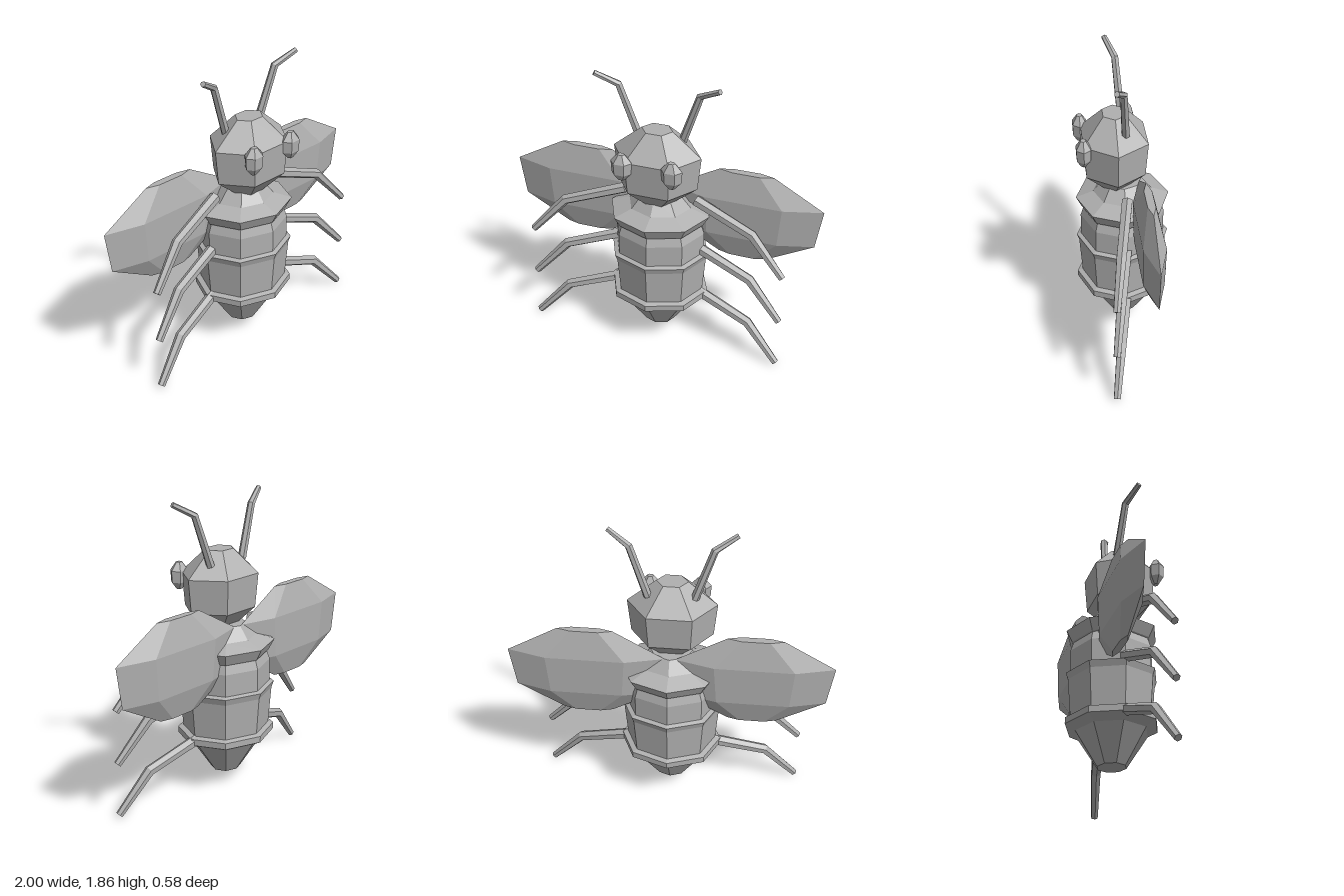
import * as THREE from 'three';

const gray = new THREE.MeshStandardMaterial({ color: 0xb0b0b0, flatShading: true });
gray.name = 'plain gray';

// Closed faceted solid turned around y from [radius, y] rows, bottom to top
function turned(rows, sides, phase) {
  const pts = [[0, rows[0][1]], ...rows, [0, rows[rows.length - 1][1]]];
  return new THREE.LatheGeometry(pts.map(([r, y]) => new THREE.Vector2(r, y)), sides, phase);
}

// Six-sided barrel of unit radius and height, shared by head, eyes and wings
const barrel = turned([[0.32, -0.5], [0.92, -0.23], [1, 0.2], [0.35, 0.5]], 6, Math.PI / 6);

// Six-sided tapering limb through a bent path
function limb(path, radii) {
  const sides = 6, pos = [], index = [];
  const P = path.map(p => new THREE.Vector3(...p));
  P.forEach((p, i) => {
    const a = P[Math.max(i - 1, 0)], b = P[Math.min(i + 1, P.length - 1)];
    const t = b.clone().sub(a).normalize();
    const u = new THREE.Vector3(0, 0, 1).cross(t).normalize();
    const v = t.clone().cross(u);
    for (let k = 0; k < sides; k++) {
      const w = (k / sides) * Math.PI * 2;
      const q = p.clone().addScaledVector(u, Math.cos(w) * radii[i]).addScaledVector(v, Math.sin(w) * radii[i]);
      pos.push(q.x, q.y, q.z);
    }
  });
  for (let i = 0; i < P.length - 1; i++) {
    for (let k = 0; k < sides; k++) {
      const a = i * sides + k, b = i * sides + (k + 1) % sides;
      index.push(a, b, b + sides, a, b + sides, a + sides);
    }
  }
  const last = (P.length - 1) * sides;
  for (let k = 1; k < sides - 1; k++) {
    index.push(0, k + 1, k, last, last + k, last + k + 1);
  }
  const g = new THREE.BufferGeometry();
  g.setAttribute('position', new THREE.Float32BufferAttribute(pos, 3));
  g.setIndex(index);
  g.computeVertexNormals();
  return g;
}

export function createModel() {
  const model = new THREE.Group();
  model.name = 'insect';
  const add = (name, geometry, position = [0, 0, 0], scale = [1, 1, 1]) => {
    const mesh = new THREE.Mesh(geometry, gray);
    mesh.name = name;
    mesh.position.set(...position);
    mesh.scale.set(...scale);
    model.add(mesh);
  };

  // Ringed eight-sided body with tail cone and neck
  add('body', turned([
    [0.10, 0.10], [0.25, 0.31], [0.32, 0.345], [0.32, 0.385], [0.285, 0.395],
    [0.305, 0.63], [0.32, 0.67], [0.29, 0.68], [0.29, 0.82], [0.27, 0.875],
    [0.28, 0.88], [0.32, 0.95], [0.20, 0.99], [0.13, 1.07],
  ], 8, 0), [0, 0, 0], [1, 1, 0.9]);

  add('head', barrel, [0, 1.28, 0.05], [0.275, 0.5, 0.222]);

  for (const s of [1, -1]) {
    const side = s > 0 ? 'left' : 'right';
    add(side + 'Eye', barrel, [s * 0.155, 1.355, 0.245], [0.066, 0.17, 0.05]);
    add(side + 'Wing', barrel, [s * 0.515, 0.945, -0.1], [0.485, 0.6, 0.077]);
    add(side + 'Antenna', limb(
      [[s * 0.14, 1.45, -0.005], [s * 0.25, 1.77, 0.018], [s * 0.38, 1.845, 0.07]],
      [0.026, 0.023, 0.017]));

    // Three identical legs stacked down the body
    ['front', 'middle', 'rear'].forEach((row, i) => {
      add(side + row[0].toUpperCase() + row.slice(1) + 'Leg', limb(
        [[s * 0.23, 1.05, -0.005], [s * 0.61, 0.925, 0.07], [s * 0.82, 0.69, 0.12]],
        [0.036, 0.033, 0.023]), [0, -0.335 * i, 0]);
    });
  }
  return model;
}
